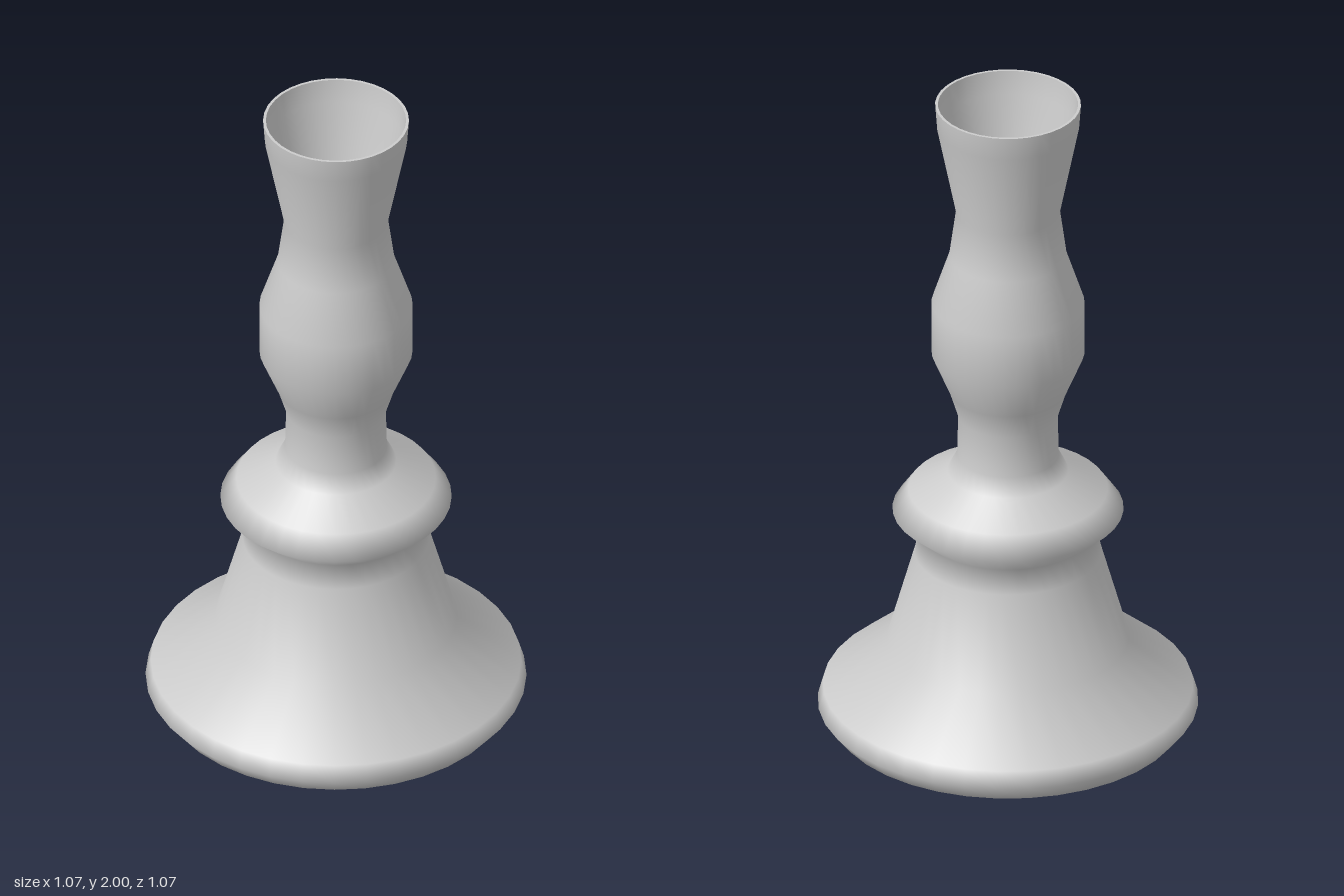
import * as THREE from 'three';

const SEGMENTS = 36;

export function createModel() {
  const group = new THREE.Group();
  const material = new THREE.MeshStandardMaterial({ color: 0xcccccc, side: THREE.DoubleSide });

  // Each part is a smooth lathe of [radius, height] pairs
  const turn = (name, profile) => {
    const points = profile.map(([r, y]) => new THREE.Vector2(r, y));
    const mesh = new THREE.Mesh(new THREE.LatheGeometry(points, SEGMENTS), material);
    mesh.name = name;
    group.add(mesh);
  };

  // Outer body: flared foot, collar, baluster stem and flared socket
  turn('turnedBody', [
    [0.36, 0], [0.495, 0.05], [0.535, 0.1], [0.52, 0.15],
    [0.34, 0.3], [0.263, 0.575], [0.246, 0.645],
    [0.325, 0.712], [0.28, 0.775], [0.17, 0.833], [0.143, 0.885],
    [0.14, 1.01], [0.165, 1.09], [0.215, 1.21], [0.215, 1.37],
    [0.165, 1.52], [0.146, 1.66], [0.2, 1.93], [0.205, 2],
  ]);

  // Thin lip around the socket
  turn('socketRim', [[0.205, 2], [0.197, 2]]);

  // Candle socket, tapering to a rounded floor
  turn('socketCup', [
    [0.197, 2], [0.19, 1.93], [0.132, 1.66], [0.103, 1.56],
    [0.09, 1.52], [0.055, 1.485], [0, 1.47],
  ]);

  // Hollow under the foot
  turn('footHollow', [
    [0, 0.84], [0.1, 0.82], [0.19, 0.74], [0.235, 0.6], [0.31, 0.3], [0.36, 0],
  ]);

  return group;
}
